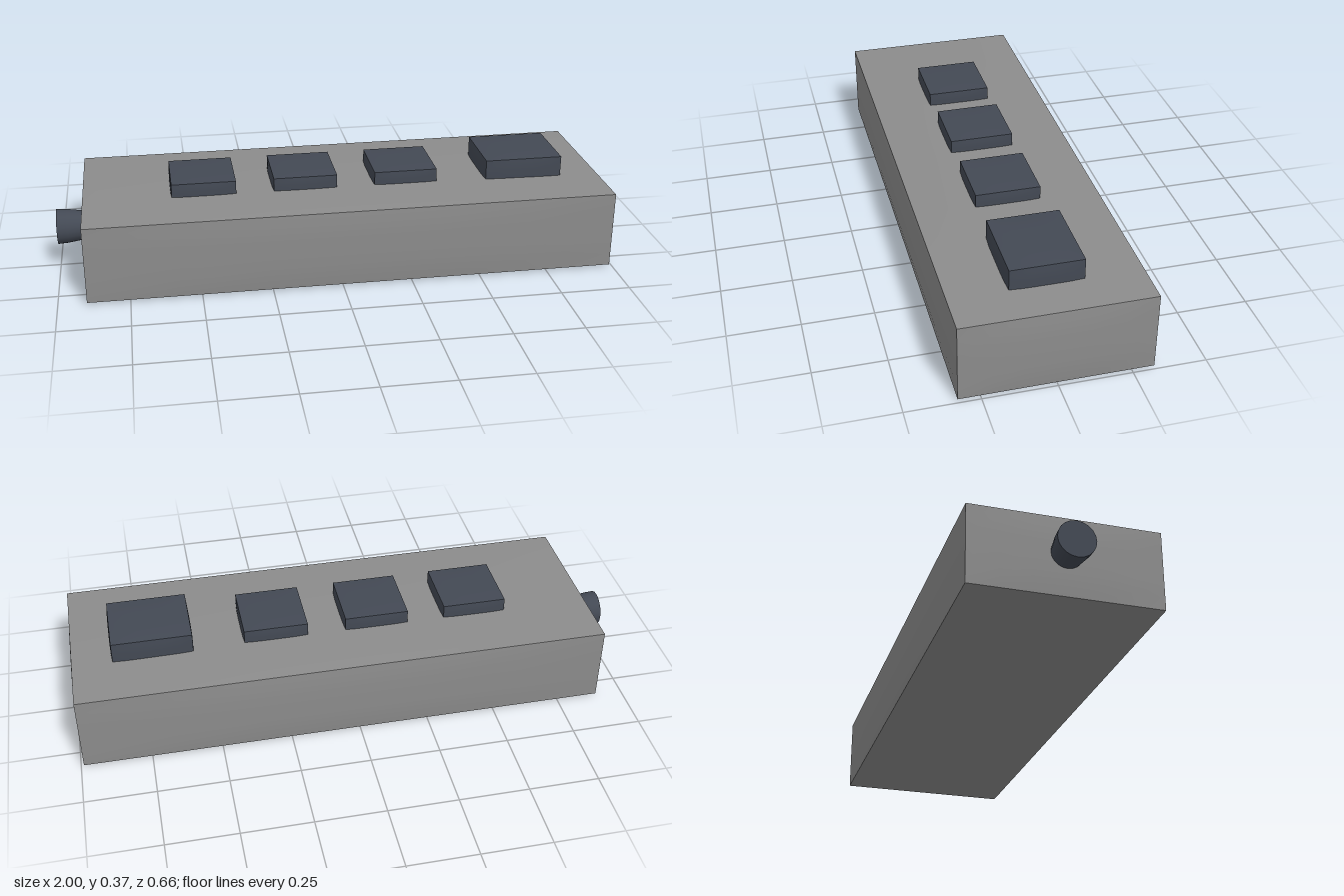
import * as THREE from 'three';

// Box whose faces swell slightly in the middle while its edges stay straight
function bulgedBox(w, h, d, bulge) {
  const geo = new THREE.BoxGeometry(w, h, d, 6, 6, 6);
  const pos = geo.attributes.position;
  const half = [w / 2, h / 2, d / 2];
  const fall = t => 1 - t ** 4;
  for (let i = 0; i < pos.count; i++) {
    const n = [0, 1, 2].map(a => pos.getComponent(i, a) / half[a]);
    for (let a = 0; a < 3; a++) {
      if (Math.abs(n[a]) < 0.999) continue;
      const swell = bulge * fall(n[(a + 1) % 3]) * fall(n[(a + 2) % 3]);
      pos.setComponent(i, a, pos.getComponent(i, a) + Math.sign(n[a]) * swell);
    }
  }
  geo.computeVertexNormals();
  return geo;
}

export function createModel() {
  const model = new THREE.Group();
  const casing = new THREE.MeshStandardMaterial({ name: 'casing grey', color: 0x8c8c8c });
  const dark = new THREE.MeshStandardMaterial({ name: 'dark slate', color: 0x434954 });

  const add = (name, geo, mat, x, y, z, parent = model) => {
    const mesh = new THREE.Mesh(geo, mat);
    mesh.name = name;
    mesh.position.set(x, y, z);
    parent.add(mesh);
    return mesh;
  };

  // Long casing
  add('casing', bulgedBox(1.89, 0.28, 0.65, 0.006), casing, 0.045, 0.148, 0);

  // Row of three small buttons and one large button
  [-0.47, -0.104, 0.264].forEach((x, i) =>
    add('smallButton' + (i + 1), bulgedBox(0.23, 0.09, 0.23, 0.003), dark, x, 0.296, 0));
  add('largeButton', bulgedBox(0.284, 0.14, 0.25, 0.004), dark, 0.705, 0.294, 0);

  // Flared plug on the end: straight rim and a neck narrowing into the casing
  const plug = new THREE.Group();
  plug.name = 'plug';
  plug.position.set(0, 0.157, 0);
  plug.rotation.z = Math.PI / 2;
  model.add(plug);
  add('plugRim', new THREE.CylinderGeometry(0.064, 0.062, 0.035, 20), dark, 0, 0.9825, 0, plug);
  add('plugNeck', new THREE.CylinderGeometry(0.062, 0.051, 0.075, 20, 1, true), dark, 0, 0.9275, 0, plug);

  return model;
}
